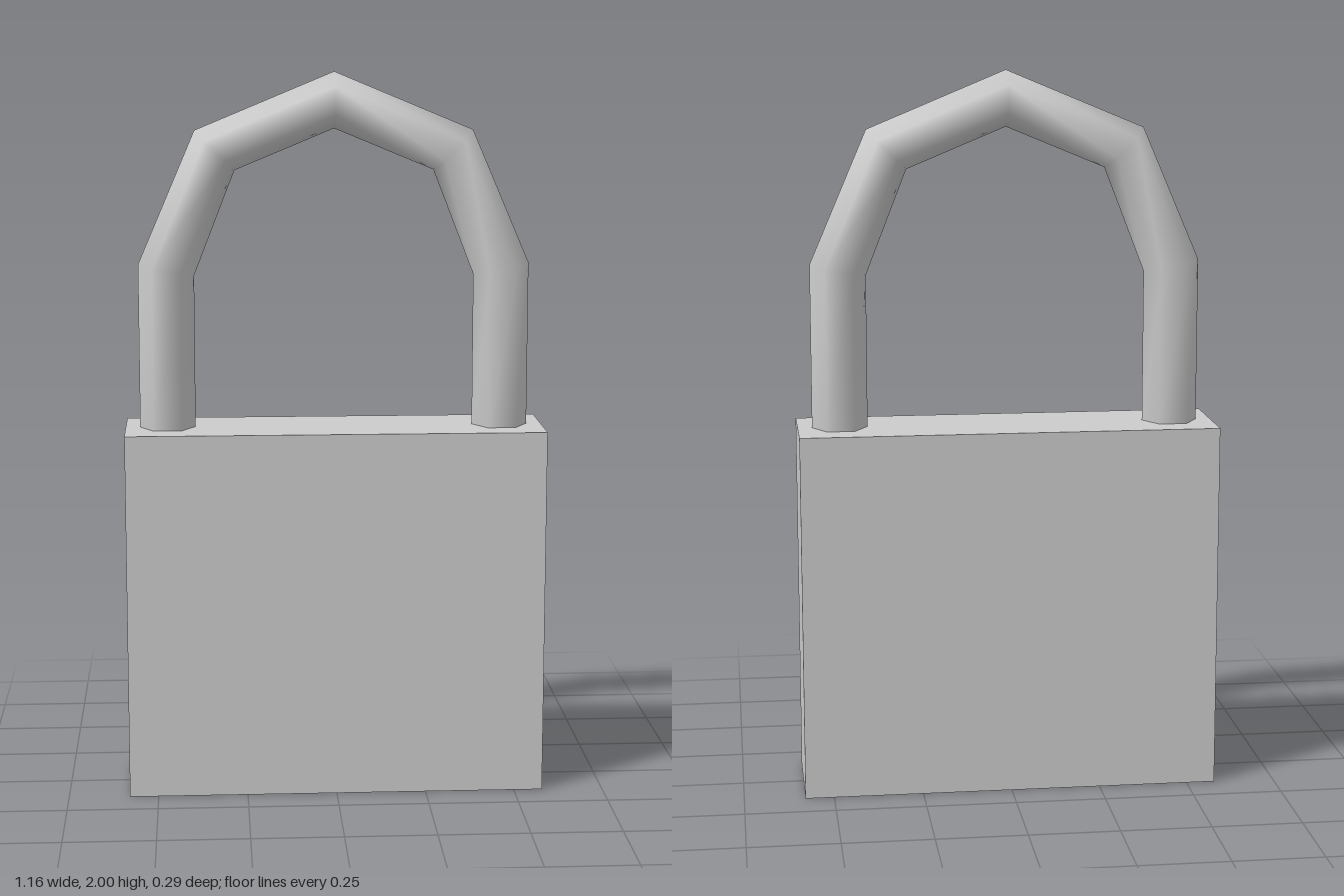
import * as THREE from 'three';

const grey = () => new THREE.MeshStandardMaterial({ color: 0xcccccc });

function buildGeometry(positions, index) {
  const g = new THREE.BufferGeometry();
  g.setAttribute('position', new THREE.Float32BufferAttribute(positions, 3));
  g.setIndex(index);
  return g;
}

// Skin between consecutive rings of n points
function skin(ringCount, n) {
  const index = [];
  for (let r = 0; r < ringCount - 1; r++) {
    for (let i = 0; i < n; i++) {
      const j = (i + 1) % n;
      const a = r * n + i, b = r * n + j, c = a + n, d = b + n;
      index.push(a, b, d, a, d, c);
    }
  }
  return index;
}

// Body: rectangular rings from the key slot floor, out over the underside, up to the top
function createBody() {
  const rings = [ // half width, half depth, height, z offset
    [0.15, 0.064, 0.04, 0.006],
    [0.15, 0.064, 0, 0.006],
    [0.58, 0.147, 0, 0],
    [0.58, 0.147, 1.025, 0],
  ];
  const positions = [];
  for (const [hx, hz, y, z] of rings) {
    for (const [sx, sz] of [[1, 1], [1, -1], [-1, -1], [-1, 1]]) {
      positions.push(sx * hx, y, z + sz * hz);
    }
  }
  const index = skin(rings.length, 4);
  index.push(0, 2, 1, 0, 3, 2); // slot floor
  index.push(12, 13, 14, 12, 14, 15); // top
  const geometry = buildGeometry(positions, index).toNonIndexed();
  geometry.computeVertexNormals();
  const body = new THREE.Mesh(geometry, grey());
  body.name = 'body';
  return body;
}

// Shackle: six-sided bar along two legs and a four-segment arch
function createShackle() {
  const sides = 6, radius = 0.077, arch = 0.463, springY = 1.463, footY = 1.0;
  const tilt = 0.2; // mitre where the legs meet the arch
  const rings = [{ x: arch, y: footY, ox: 1, oy: 0 }];
  for (let k = 0; k <= 4; k++) {
    const t = (k * Math.PI) / 4;
    const mitre = k === 0 || k === 4 ? tilt : 0;
    rings.push({
      x: arch * Math.cos(t), y: springY + arch * Math.sin(t),
      ox: Math.cos(t), oy: Math.sin(t) + mitre,
    });
  }
  rings.push({ x: -arch, y: footY, ox: -1, oy: 0 });

  const positions = [];
  for (const { x, y, ox, oy } of rings) {
    for (let i = 0; i < sides; i++) {
      const a = (-i * Math.PI * 2) / sides;
      const out = radius * Math.cos(a);
      positions.push(x + ox * out, y + oy * out, radius * Math.sin(a));
    }
  }
  const geometry = buildGeometry(positions, skin(rings.length, sides));
  geometry.computeVertexNormals();
  const shackle = new THREE.Mesh(geometry, grey());
  shackle.name = 'shackle';
  return shackle;
}

export function createModel() {
  const padlock = new THREE.Group();
  padlock.name = 'padlock';
  padlock.add(createBody(), createShackle());
  return padlock;
}
